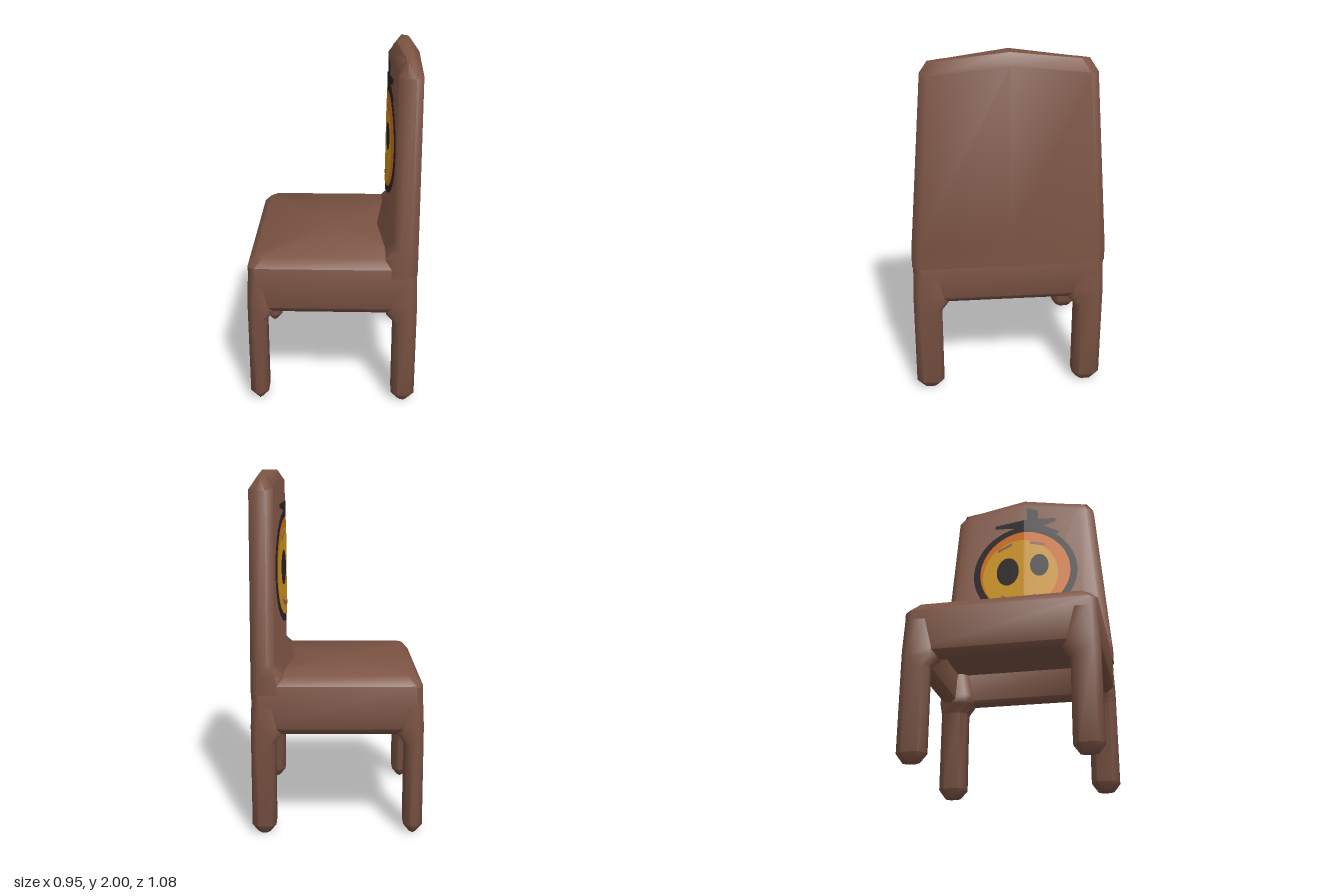
import * as THREE from 'three';
import { toCreasedNormals } from 'three/addons/utils/BufferGeometryUtils.js';

const mat = (name, color) => {
  const m = new THREE.MeshStandardMaterial({ color });
  m.name = name;
  return m;
};

// Closed skin through rings of [x, y, z] points, with a fan cap at each end
function loft(rings) {
  const n = rings[0].length;
  const pos = rings.flat(2);
  const idx = [];
  for (let i = 0; i < rings.length - 1; i++) {
    for (let j = 0; j < n; j++) {
      const a = i * n + j, b = i * n + (j + 1) % n;
      idx.push(a, a + n, b, b, a + n, b + n);
    }
  }
  const cap = (ring, start, up) => {
    const c = pos.length / 3;
    const lo = [0, 1, 2].map(k => Math.min(...ring.map(p => p[k])));
    const hi = [0, 1, 2].map(k => Math.max(...ring.map(p => p[k])));
    pos.push((lo[0] + hi[0]) / 2, up ? hi[1] : lo[1], (lo[2] + hi[2]) / 2);
    for (let j = 0; j < n; j++) {
      const a = start + j, b = start + (j + 1) % n;
      idx.push(c, up ? b : a, up ? a : b);
    }
  };
  cap(rings[0], 0, false);
  cap(rings[rings.length - 1], (rings.length - 1) * n, true);
  const g = new THREE.BufferGeometry();
  g.setAttribute('position', new THREE.Float32BufferAttribute(pos, 3));
  g.setIndex(idx);
  return toCreasedNormals(g, 0.95);
}

// Rectangle with cut corners at height y
const rect = (x0, x1, z0, z1, c, y) => [
  [x1, y, z0 + c], [x1, y, z1 - c], [x1 - c, y, z1], [x0 + c, y, z1],
  [x0, y, z1 - c], [x0, y, z0 + c], [x0 + c, y, z0], [x1 - c, y, z0],
];

// Backrest section: flat rear, front swelling to a ridge at z = 0
const RIDGE = 0.3, FRONT = 0.34, SWELL = 0.36;
function backSection(y, w, inset = 0, rise = 0, push = 0) {
  const r = 0.47 - inset, f = FRONT + inset - push, m = RIDGE + inset - push;
  const e = w - inset, s = SWELL - inset;
  const half = [[r, e - 0.045], [r - 0.04, e], [f + 0.04 - inset * 0.4, e], [f, e - 0.045], [f, s]];
  const pts = [[r, 0], ...half, [m, 0], ...half.slice().reverse().map(([x, z]) => [x, -z])];
  return pts.map(([x, z]) => [x, y + rise * (1 - Math.abs(z) / w), z]);
}

// Thin painted patch following the front of the backrest, between two curves over z
function patch(z0, z1, top, bottom, lift) {
  const zs = [];
  for (let i = 0; i <= 32; i++) zs.push((z0 + z1) / 2 - (z1 - z0) / 2 * Math.cos(Math.PI * i / 32));
  if (z0 < 0 && z1 > 0) zs.push(0);
  zs.sort((a, b) => a - b);
  const pos = [], idx = [];
  zs.forEach((z, i) => {
    const x = RIDGE + (FRONT - RIDGE) * Math.min(1, Math.abs(z) / SWELL) - lift;
    pos.push(x, bottom(z), z, x, top(z), z);
    if (i) {
      const a = 2 * i - 2;
      idx.push(a, a + 2, a + 3, a, a + 3, a + 1);
    }
  });
  const g = new THREE.BufferGeometry();
  g.setAttribute('position', new THREE.Float32BufferAttribute(pos, 3));
  g.setIndex(idx);
  g.computeVertexNormals();
  return g;
}

function oval(cz, cy, rz, ry, lift) {
  const h = z => ry * Math.sqrt(Math.max(0, 1 - ((z - cz) / rz) ** 2));
  return patch(cz - rz, cz + rz, z => cy + h(z), z => cy - h(z), lift);
}

// Tapering stroke from (za, ya) to (zb, yb), with za < zb
function stroke(za, ya, zb, yb, ta, tb, lift, bend = 0) {
  const f = (z, s) => {
    const t = (z - za) / (zb - za);
    return ya + (yb - ya) * t + bend * 4 * t * (1 - t) + s * (ta + (tb - ta) * t) / 2;
  };
  return patch(za, zb, z => f(z, 1), z => f(z, -1), lift);
}

export function createModel() {
  const group = new THREE.Group();
  const wood = mat('brown wood', 0x7c5444);
  const black = mat('black paint', 0x2b2524);
  const orange = mat('orange paint', 0xd8741c);
  const yellow = mat('yellow paint', 0xd89c20);
  const tan = mat('dull brown paint', 0x92664a);
  const add = (name, geometry, material) => {
    const m = new THREE.Mesh(geometry, material);
    m.name = name;
    group.add(m);
  };

  // Seat: hollow underneath, apron walls, softened top edge
  const seatRing = (i, y) => rect(-0.467 + i, 0.468 - i, -0.535 + i, 0.535 - i, 0.04, y);
  add('seat', loft([
    seatRing(0.1, 0.77), seatRing(0.1, 0.6), seatRing(0.075, 0.575), seatRing(0.03, 0.575),
    seatRing(0, 0.61), seatRing(0, 0.85), seatRing(0.045, 0.903),
  ]), wood);

  // Legs: chamfered foot, flared inward where they meet the apron
  const leg = (x0, x1, sx, sz) => {
    const [z0, z1] = sz > 0 ? [0.38, 0.54] : [-0.54, -0.38];
    const ring = (i, flare, y) => rect(
      x0 + i - (sx > 0 ? flare : 0), x1 - i + (sx < 0 ? flare : 0),
      z0 + i - (sz > 0 ? flare : 0), z1 - i + (sz < 0 ? flare : 0), 0.035 - i * 0.4, y);
    return loft([ring(0.035, 0, 0), ring(0, 0, 0.05), ring(0, 0, 0.52),
      ring(0, 0.04, 0.575), ring(0, 0.04, 0.62), ring(0.01, 0, 0.84)]);
  };
  for (const sz of [1, -1]) {
    const side = sz > 0 ? 'Front' : 'Back';
    add('seatEdgeLeg' + side, leg(-0.475, -0.37, -1, sz), wood);
    add('backrestLeg' + side, leg(0.34, 0.473, 1, sz), wood);
  }

  // Backrest: tapered, with a small cove at the seat and a gently peaked top
  add('backrest', loft([
    backSection(0.8, 0.54, 0, 0, 0.05), backSection(0.9, 0.54, 0, 0, 0.05),
    backSection(0.95, 0.535), backSection(1.89, 0.46, 0, 0.05), backSection(1.95, 0.46, 0.042, 0.05),
  ]), wood);

  // Painted round face
  add('faceOutline', oval(0, 1.45, 0.345, 0.325, 0.002), black);
  add('faceRim', oval(0, 1.45, 0.3, 0.285, 0.004), orange);
  add('faceCentre', oval(-0.03, 1.425, 0.25, 0.25, 0.006), yellow);
  add('eyeLeft', oval(-0.11, 1.45, 0.075, 0.1, 0.008), black);
  add('eyeRight', oval(0.1, 1.48, 0.06, 0.08, 0.008), black);
  add('smile', stroke(-0.15, 1.27, 0.07, 1.26, 0.025, 0.025, 0.008, -0.03), tan);
  add('browLeft', stroke(-0.18, 1.61, -0.08, 1.65, 0.02, 0.02, 0.008), tan);
  add('browRight', stroke(0.04, 1.65, 0.14, 1.63, 0.02, 0.02, 0.008), tan);

  // Painted stem and leaves
  add('stem', patch(0.02, 0.095, z => 1.92 - (z - 0.02) * 0.3, () => 1.74, 0.003), black);
  add('leafLeft', stroke(-0.2, 1.8, 0.06, 1.79, 0.02, 0.08, 0.003), black);
  add('leafRight', stroke(0.05, 1.79, 0.21, 1.82, 0.08, 0.025, 0.003), black);
  add('leafLow', stroke(0.05, 1.78, 0.23, 1.72, 0.08, 0.02, 0.003), black);
  return group;
}
